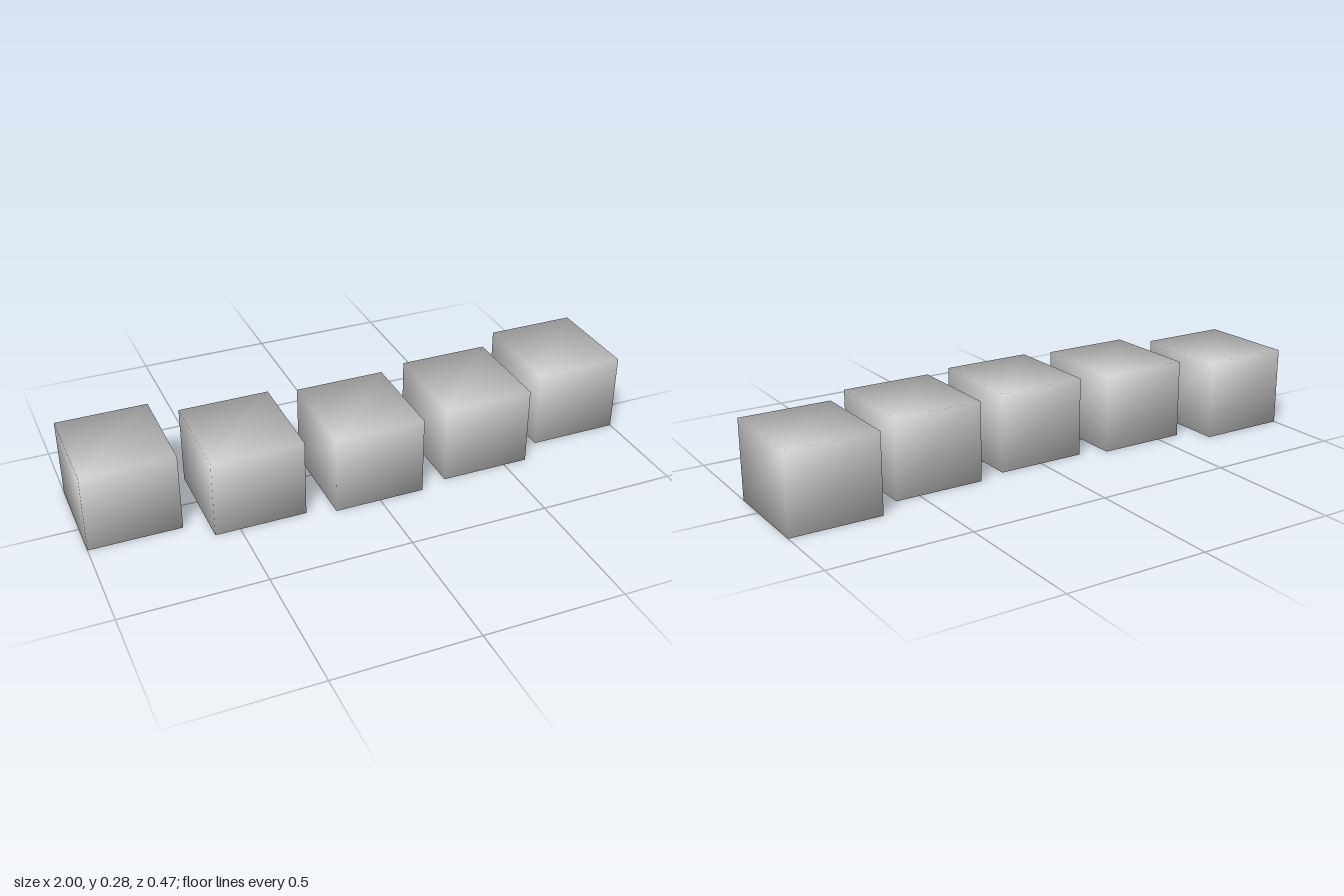
import * as THREE from 'three';
import { mergeVertices } from 'three/addons/utils/BufferGeometryUtils.js';

const WIDTH = 0.325, HEIGHT = 0.284, DEPTH = 0.363;

// Box whose corners share one normal, so it shades smoothly across its edges
function softShadedBox(w, h, d) {
  const box = new THREE.BoxGeometry(w, h, d);
  box.deleteAttribute('normal');
  box.deleteAttribute('uv');
  const welded = mergeVertices(box);
  welded.clearGroups();
  welded.computeVertexNormals();
  return welded;
}

export function createModel() {
  const model = new THREE.Group();
  model.name = 'blockArc';
  const material = new THREE.MeshStandardMaterial({ color: 0xcccccc });
  const geometry = softShadedBox(WIDTH, HEIGHT, DEPTH);

  // Five equal blocks in a shallow arc that bows to the front: [x, z]
  const places = [
    [-0.8375, -0.056],
    [-0.426, 0.027],
    [-0.002, 0.056],
    [0.424, 0.027],
    [0.8375, -0.056],
  ];
  places.forEach(([x, z], i) => {
    const block = new THREE.Mesh(geometry, material);
    block.name = `block${i + 1}`;
    block.position.set(x, HEIGHT / 2, z);
    model.add(block);
  });
  return model;
}
